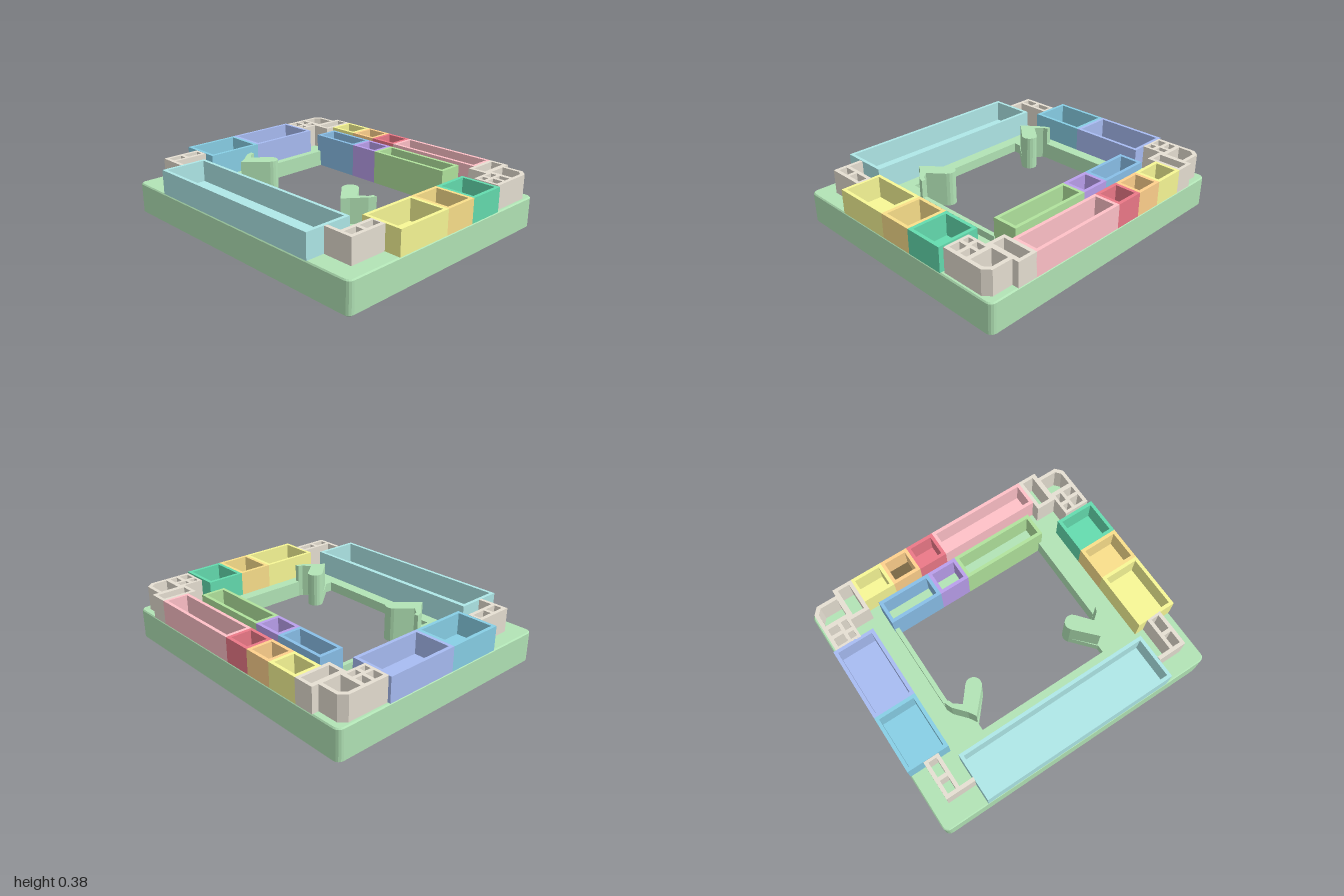
import * as THREE from 'three';

const GREEN = 0xb2e4b6, GREY = 0xe6dfd2;
const TOP = 0.38, DECK = 0.216, LIP = 0.15;

const mat = (color, extra = {}) => new THREE.MeshStandardMaterial({ color, ...extra });
const toPlan = pts => pts.map(([x, z]) => new THREE.Vector2(x, -z));
const rect = (x0, x1, z0, z1) => [[x0, z0], [x1, z0], [x1, z1], [x0, z1]];
const mirror = (pts, s) => pts.map(([x, z]) => [s * x, z]);

// Extrude a plan outline (x, z) with holes from y0 up to y1
function prism(name, outline, holes, y0, y1, color) {
  const pts = toPlan(outline);
  // An anticlockwise outline lets the extrusion turn all hole walls the right way
  if (THREE.ShapeUtils.isClockWise(pts)) pts.reverse();
  const shape = new THREE.Shape(pts);
  for (const h of holes) shape.holes.push(new THREE.Path(toPlan(h)));
  const geo = new THREE.ExtrudeGeometry(shape, { depth: y1 - y0, bevelEnabled: false });
  geo.rotateX(-Math.PI / 2).translate(0, y0, 0);
  const mesh = new THREE.Mesh(geo, mat(color));
  mesh.name = name;
  return mesh;
}

// Rounded rectangle in plan
function roundRect(hx, hz, r, n = 4) {
  const pts = [];
  for (let q = 0; q < 4; q++) {
    const cx = (q === 0 || q === 3 ? 1 : -1) * (hx - r);
    const cz = (q < 2 ? 1 : -1) * (hz - r);
    for (let i = 0; i <= n; i++) {
      const a = (q + i / n) * Math.PI / 2;
      pts.push([cx + r * Math.cos(a), cz + r * Math.sin(a)]);
    }
  }
  return pts;
}

// Skin stacked rings [y, points] listed from the top down
function loft(rings) {
  const pos = [], idx = [], n = rings[0][1].length;
  for (const [y, pts] of rings) for (const [x, z] of pts) pos.push(x, y, z);
  for (let k = 0; k < rings.length - 1; k++) {
    for (let i = 0; i < n; i++) {
      const j = (i + 1) % n, a = k * n, b = a + n;
      idx.push(a + i, a + j, b + i, a + j, b + j, b + i);
    }
  }
  const geo = new THREE.BufferGeometry();
  geo.setAttribute('position', new THREE.Float32BufferAttribute(pos, 3));
  geo.setIndex(idx);
  const flat = geo.toNonIndexed();
  flat.computeVertexNormals();
  return flat;
}

// Open-topped bin; floor is null when it is open to the deck
function bin(name, [x0, x1, z0, z1], color, y0 = DECK, floor = color) {
  const t = 0.023, g = new THREE.Group();
  g.name = name;
  const inner = rect(x0 + t, x1 - t, z0 + t, z1 - t);
  g.add(prism(name + 'Walls', rect(x0, x1, z0, z1), [inner], y0, TOP, color));
  if (floor !== null) g.add(prism(name + 'Floor', inner, [], y0, y0 + 0.02, floor));
  return g;
}

export function createModel() {
  const model = new THREE.Group();

  // Base: bevelled outer shell whose underside rises to the central opening
  const inset = roundRect(0.993, 0.838, 0.035);
  const outer = roundRect(1, 0.845, 0.04);
  const shell = new THREE.Mesh(loft([
    [DECK, inset], [DECK - 0.008, outer], [0.012, outer], [0, roundRect(0.985, 0.83, 0.03)],
    [LIP, roundRect(0.56, 0.44, 0.001)],
  ]), mat(GREEN, { flatShading: true }));
  shell.name = 'baseShell';
  model.add(shell);

  // Rounded tip of a hook on the -x side
  const tip = [];
  for (let i = 0; i <= 8; i++) {
    const a = (-140 + i * 22.5) * Math.PI / 180;
    tip.push([-0.378 + 0.052 * Math.cos(a), 0.204 + 0.052 * Math.sin(a)]);
  }
  const edge = [[-0.56, -0.44], [-0.56, 0.2], [-0.55, 0.23], [-0.5, 0.27], ...tip, [-0.47, 0.39], [-0.47, 0.44]];
  const opening = [...edge, ...mirror(edge, -1).reverse()];
  model.add(prism('baseDeck', inset, [opening], LIP, DECK, GREEN));

  // Hooks and low side rails around the opening
  const hook = [[-0.59, 0.2], [-0.56, 0.2], [-0.55, 0.23], [-0.5, 0.27], ...tip, [-0.47, 0.38], [-0.5, 0.33], [-0.57, 0.25]];
  for (const s of [1, -1]) {
    const side = s > 0 ? 'right' : 'left';
    model.add(prism(side + 'Hook', mirror(hook, s), [], LIP, TOP, GREEN));
    model.add(prism(side + 'Rail', mirror(rect(-0.588, -0.558, -0.44, 0.2), s), [], LIP, 0.26, GREEN));
  }

  // Bins around the edge
  const bins = [
    ['frontBin', [-0.69, 0.685, 0.52, 0.843], 0xafe8e8],
    ['rightRearBin', [-1, -0.71, -0.47, 0.045], 0xa8bcf3],
    ['rightFrontBin', [-1, -0.71, 0.045, 0.44], 0x88cfe6],
    ['leftRearBin', [0.72, 1, -0.45, -0.185], 0x64dcaf],
    ['leftMiddleBin', [0.72, 1, -0.185, 0.055], 0xfadf8b],
    ['leftFrontBin', [0.72, 1, 0.055, 0.46], 0xf8f896],
    ['rearLongBin', [-0.04, 0.665, -0.845, -0.66], 0xffc1c8],
    ['rearRedBin', [-0.24, -0.04, -0.845, -0.66], 0xec7988],
    ['rearOrangeBin', [-0.44, -0.24, -0.845, -0.66], 0xffd18d, DECK, 0x7a6744],
    ['rearYellowBin', [-0.665, -0.44, -0.845, -0.66], 0xf8f896],
    // Bins along the opening, without floors
    ['innerBlueBin', [-0.59, -0.22, -0.605, -0.432], 0x89bfe8, LIP, null],
    ['innerPurpleBin', [-0.22, -0.01, -0.605, -0.432], 0xba9fec, LIP, null],
    ['innerGreenBin', [-0.01, 0.58, -0.605, -0.432], 0xb1e39d, LIP, null],
  ];
  for (const b of bins) model.add(bin(...b));

  // Corner brackets, open lattices joining the bins
  const rearOutline = [
    [-0.98, -0.465], [-0.98, -0.755], [-0.94, -0.8], [-0.8, -0.8], [-0.8, -0.845], [-0.662, -0.845],
    [-0.662, -0.6], [-0.8, -0.6], [-0.8, -0.465],
  ];
  const rearHoles = [
    [[-0.955, -0.65], [-0.955, -0.74], [-0.925, -0.775], [-0.805, -0.775], [-0.805, -0.65]],
    rect(-0.77, -0.688, -0.822, -0.625),
    rect(-0.955, -0.885, -0.62, -0.57),
    rect(-0.955, -0.885, -0.545, -0.485),
    rect(-0.862, -0.82, -0.62, -0.555),
    rect(-0.862, -0.82, -0.53, -0.485),
  ];
  const frontOutline = [
    [-0.89, 0.442], [-0.785, 0.442], [-0.785, 0.68], [-0.688, 0.68], [-0.688, 0.705], [-0.89, 0.705],
  ];
  const frontHoles = [rect(-0.865, -0.81, 0.46, 0.565), rect(-0.865, -0.81, 0.59, 0.68)];
  for (const s of [1, -1]) {
    const side = s > 0 ? 'right' : 'left';
    const flip = pts => mirror(pts, s);
    model.add(prism(side + 'RearBracket', flip(rearOutline), rearHoles.map(flip), DECK, TOP, GREY));
    const front = prism(side + 'FrontBracket', flip(frontOutline), frontHoles.map(flip), DECK, TOP, GREY);
    if (s < 0) front.position.z = 0.012;
    model.add(front);
  }
  return model;
}
